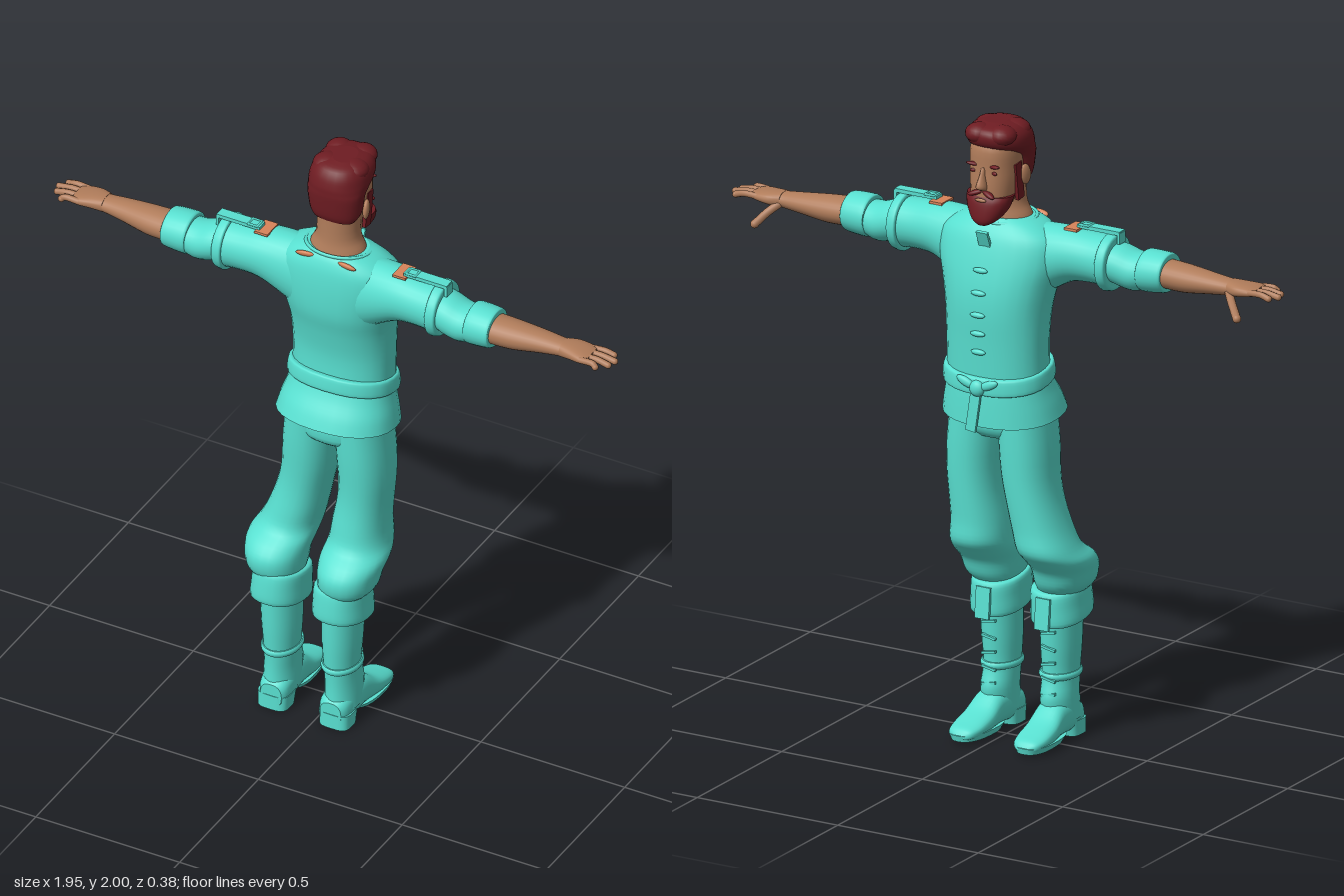
import * as THREE from 'three';

const mat = (name, color) => Object.assign(new THREE.MeshStandardMaterial({ color }), { name });
const cloth = mat('turquoise cloth', 0x58dfd0);
const hairRed = mat('dark red hair', 0x6e1c22);
const skin = mat('skin', 0xb07c5a);
const patchTan = mat('tan patch', 0xd8845a);
cloth.side = THREE.DoubleSide;

// Smooth loft along an axis. Each row is [position, aMin, aMax, bMin, bMax]:
// along y: a = x, b = z; along x: a = y, b = z; along z: a = x, b = y.
function loft(axis, rows, { p = 2, warp = null, seg = 28, steps = 4 } = {}) {
  const cr = (a, b, c, d, t) => {
    const m0 = (c - a) / 2, m1 = (d - b) / 2, t2 = t * t, t3 = t2 * t;
    return (2 * t3 - 3 * t2 + 1) * b + (t3 - 2 * t2 + t) * m0 + (3 * t2 - 2 * t3) * c + (t3 - t2) * m1;
  };
  const at = i => rows[Math.max(0, Math.min(rows.length - 1, i))];
  const fine = [];
  for (let i = 0; i < rows.length - 1; i++)
    for (let k = 0; k < steps; k++)
      fine.push(rows[i].map((_, j) => cr(at(i - 1)[j], at(i)[j], at(i + 1)[j], at(i + 2)[j], k / steps)));
  fine.push(rows[rows.length - 1]);
  const pos = [], idx = [];
  const put = (t, a, b) => {
    const v = axis === 'y' ? [a, t, b] : axis === 'x' ? [t, a, b] : [a, b, t];
    if (warp) warp(v);
    pos.push(...v);
  };
  const sp = v => Math.sign(v) * Math.pow(Math.abs(v), 2 / p);
  for (const [t, a0, a1, b0, b1] of fine)
    for (let j = 0; j < seg; j++) {
      const w = j / seg * Math.PI * 2;
      put(t, (a0 + a1) / 2 + (a1 - a0) / 2 * sp(Math.cos(w)), (b0 + b1) / 2 + (b1 - b0) / 2 * sp(Math.sin(w)));
    }
  const flip = (axis === 'y') !== (rows[rows.length - 1][0] < rows[0][0]);
  const tri = (a, b, c) => flip ? idx.push(a, c, b) : idx.push(a, b, c);
  for (let i = 0; i < fine.length - 1; i++)
    for (let j = 0; j < seg; j++) {
      const a = i * seg + j, b = i * seg + (j + 1) % seg;
      tri(a, b, b + seg);
      tri(a, b + seg, a + seg);
    }
  // End caps with their own rim vertices, so the edges stay sharp
  for (const end of [0, fine.length - 1]) {
    const [t, a0, a1, b0, b1] = fine[end], first = pos.length / 3;
    for (let j = 0; j < seg; j++) pos.push(...pos.slice((end * seg + j) * 3, (end * seg + j) * 3 + 3));
    put(t, (a0 + a1) / 2, (b0 + b1) / 2);
    for (let j = 0; j < seg; j++) {
      const a = first + j, b = first + (j + 1) % seg;
      end ? tri(a, b, first + seg) : tri(b, a, first + seg);
    }
  }
  const g = new THREE.BufferGeometry();
  g.setAttribute('position', new THREE.Float32BufferAttribute(pos, 3));
  g.setIndex(idx);
  g.computeVertexNormals();
  return g;
}

export function createModel() {
  const root = new THREE.Group();
  const add = (name, geo, m, at = [0, 0, 0], rot = [0, 0, 0], scale = [1, 1, 1]) => {
    const mesh = new THREE.Mesh(geo, m);
    mesh.name = name;
    mesh.position.set(...at);
    mesh.rotation.set(...rot);
    mesh.scale.set(...scale);
    root.add(mesh);
    return mesh;
  };
  const box = (w, h, d) => new THREE.BoxGeometry(w, h, d);
  const ball = new THREE.SphereGeometry(1, 18, 12);
  const tube = (pts, r) => new THREE.TubeGeometry(new THREE.CatmullRomCurve3(pts.map(q => new THREE.Vector3(...q))), 10, r, 8);
  const tilt = k => v => { v[1] += k * (v[2] + 0.04); };

  // Tunic, skirt and belt
  add('tunic', loft('y', [
    [1.18, -.165, .165, -.16, .07], [1.3, -.165, .165, -.165, .065], [1.4, -.17, .17, -.17, .08],
    [1.48, -.185, .185, -.165, .098], [1.56, -.205, .205, -.148, .1], [1.63, -.2, .2, -.125, .093],
    [1.67, -.15, .15, -.1, .08], [1.69, -.1, .1, -.08, .066]], { p: 2.3 }), cloth);
  add('tunicSkirt', loft('y', [
    [1.055, -.197, .194, -.165, .142], [1.1, -.187, .186, -.163, .122], [1.15, -.173, .173, -.16, .092],
    [1.2, -.163, .163, -.155, .07]], { p: 2.3, warp: tilt(.14) }), cloth);
  add('belt', loft('y', [[1.168, -.172, .172, -.17, .085], [1.176, -.178, .178, -.177, .091],
    [1.215, -.175, .175, -.175, .086], [1.222, -.166, .166, -.168, .078]], { p: 2.3, warp: tilt(.2) }), cloth);
  add('beltKnot', ball, cloth, [0, 1.165, -.175], [0, 0, 0], [.026, .026, .018]);
  add('beltEnd', box(.035, .14, .01), cloth, [.012, 1.095, -.175], [.05, 0, .12]);
  for (const s of [-1, 1])
    add('beltLoop', ball, cloth, [s * .04, 1.18, -.175], [0, 0, s * .4], [.035, .014, .011]);

  // Placket and toggles down the chest
  add('placket', box(.04, .1, .01), cloth, [0, 1.615, -.128], [-.38, 0, 0]);
  for (const [y, z] of [[1.54, -.157], [1.47, -.169], [1.4, -.173], [1.34, -.172], [1.28, -.169]])
    add('toggle', ball, cloth, [0, y, z], [0, 0, 0], [.026, .009, .009]);
  const collar = new THREE.TorusGeometry(1, .06, 8, 32);
  add('collar', collar, cloth, [0, 1.683, -.012], [Math.PI / 2 - .1, 0, 0], [.106, .082, .1]);

  // Neck and head
  add('neck', loft('y', [[1.66, -.1, .1, -.085, .07], [1.695, -.088, .088, -.078, .06],
    [1.74, -.07, .07, -.074, .052], [1.84, -.07, .07, -.08, .05]]), skin);
  add('head', loft('y', [[1.7, -.035, .035, -.14, -.07], [1.74, -.06, .06, -.145, -.03],
    [1.8, -.074, .074, -.146, .03], [1.86, -.079, .079, -.142, .048],
    [1.93, -.077, .077, -.138, .048], [1.97, -.05, .05, -.1, .02]], { p: 2.3 }), skin);
  add('nose', loft('y', [[1.797, -.016, .016, -.155, -.12], [1.81, -.017, .017, -.173, -.12],
    [1.84, -.01, .01, -.158, -.12], [1.868, -.008, .008, -.144, -.12]], { seg: 12 }), skin);

  // Hair, beard and facial details
  add('hair', loft('y', [[1.805, -.07, .07, -.015, .05], [1.83, -.085, .083, -.05, .06],
    [1.89, -.094, .09, -.066, .066], [1.915, -.097, .092, -.105, .066], [1.935, -.1, .093, -.14, .064],
    [1.965, -.093, .088, -.15, .054], [1.988, -.07, .07, -.135, .035], [1.998, -.03, .04, -.09, 0]], { p: 2.3 }), hairRed);
  for (const [x, z, r] of [[-.045, -.1, .045], [.03, -.11, .045], [.04, -.03, .05], [-.04, -.02, .05]])
    add('hairLock', ball, hairRed, [x, 1.967, z], [0, .4, 0], [r, .032, r]);
  add('beard', loft('y', [[1.685, -.018, .018, -.155, -.125], [1.7, -.042, .042, -.162, -.09],
    [1.73, -.064, .064, -.16, -.055], [1.758, -.074, .074, -.154, -.045], [1.775, -.077, .077, -.145, -.035]], { p: 2.3 }), hairRed);
  for (const s of [-1, 1]) {
    add('sideburn', box(.012, .12, .035), hairRed, [s * .076, 1.815, -.056], [-.15, 0, 0]);
    add('moustache', ball, hairRed, [s * .022, 1.786, -.146], [0, s * .35, -s * .3], [.028, .008, .011]);
    add('eyebrow', ball, hairRed, [s * .036, 1.873, -.135], [0, s * .35, s * .12], [.025, .006, .009]);
    add('eye', ball, hairRed, [s * .035, 1.852, -.134], [0, s * .35, 0], [.014, .006, .005]);
    add('ear', ball, skin, [s * .085, 1.83, -.03], [-.15, s * .3, 0], [.011, .034, .02]);
    add('neckPatch', ball, patchTan, [s * .072, 1.673, .07], [-.9, 0, -s * .1], [.033, .008, .013]);
  }
  add('lips', ball, skin, [0, 1.766, -.155], [0, 0, 0], [.02, .006, .005]);

  // Arms with sleeves, shoulder straps and hands
  for (const s of [-1, 1]) {
    const arm = (name, rows, m, o) => add(name, loft('x', rows.map(([x, ...r]) => [s * x, ...r]), o), m);
    arm('upperSleeve', [[.1, 1.42, 1.672, -.09, .085], [.17, 1.465, 1.676, -.085, .088],
      [.24, 1.503, 1.674, -.076, .09], [.31, 1.51, 1.667, -.068, .09], [.37, 1.505, 1.665, -.068, .092]], cloth);
    arm('sleeveBand', [[.355, 1.5, 1.67, -.073, .096], [.36, 1.493, 1.677, -.079, .101],
      [.383, 1.497, 1.674, -.077, .099], [.388, 1.506, 1.667, -.069, .092]], cloth);
    arm('lowerSleeve', [[.37, 1.53, 1.65, -.06, .085], [.41, 1.515, 1.645, -.056, .09],
      [.46, 1.508, 1.63, -.05, .09], [.52, 1.53, 1.63, -.04, .085]], cloth);
    arm('sleeveCuff', [[.485, 1.525, 1.633, -.046, .086], [.492, 1.512, 1.645, -.052, .093],
      [.56, 1.518, 1.643, -.048, .092], [.568, 1.527, 1.635, -.04, .085]], cloth);
    arm('forearm', [[.54, 1.535, 1.624, -.037, .08], [.63, 1.533, 1.62, -.037, .072],
      [.72, 1.545, 1.612, -.032, .056], [.79, 1.554, 1.605, -.026, .046], [.82, 1.56, 1.603, -.03, .048]], skin);
    arm('palm', [[.795, 1.556, 1.605, -.026, .046], [.83, 1.56, 1.604, -.038, .052],
      [.87, 1.566, 1.6, -.036, .06], [.895, 1.57, 1.595, -.028, .056]], skin, { p: 2.4 });
    // Four fingers and a lowered thumb, with round tips
    for (const [i, tip] of [.958, .976, .968, .938].entries()) {
      const z = -.024 + i * .025, zt = z + (i - 1.2) * .003;
      add('finger', tube([[s * .87, 1.584, z], [s * .92, 1.586, (z + zt) / 2], [s * (tip - .01), 1.579, zt]], .0105), skin);
      add('fingertip', ball, skin, [s * (tip - .01), 1.579, zt], [0, 0, 0], [.0105, .0105, .0105]);
    }
    add('thumb', tube([[s * .795, 1.575, -.01], [s * .825, 1.548, -.04], [s * .858, 1.51, -.065]], .0135), skin);
    add('thumbTip', ball, skin, [s * .858, 1.51, -.065], [0, 0, 0], [.0135, .0135, .0135]);
    // Shoulder strap and buckle
    add('shoulderStrap', box(.15, .012, .036), cloth, [s * .325, 1.682, .018]);
    add('strapEnd', box(.01, .035, .036), cloth, [s * .397, 1.666, .018]);
    add('strapBuckle', new THREE.TorusGeometry(.022, .005, 6, 4), cloth, [s * .275, 1.687, .018], [Math.PI / 2, 0, Math.PI / 4]);
    add('shoulderPatch', box(.045, .008, .07), patchTan, [s * .24, 1.674, .012]);
  }

  // Legs: both drift sideways below the thigh, as in a relaxed stance
  const drift = v => { v[0] -= .042 * THREE.MathUtils.smoothstep(.9 - v[1], 0, .35); };
  add('hips', loft('y', [[.985, -.12, .12, -.1, .07], [1.02, -.165, .165, -.125, .095], [1.12, -.165, .165, -.13, .09]]), cloth);
  for (const s of [-1, 1]) {
    const leg = (name, axis, rows, o = {}) => add(name, loft(axis,
      rows.map(([t, a, b, ...r]) => [t, ...(s > 0 ? [a, b] : [-b, -a]), ...r]),
      { ...o, warp: v => { if (o.warp) o.warp(v); drift(v); } }), cloth);
    leg('trouserLeg', 'y', [[.47, .045, .175, 0, .15], [.505, .035, .21, -.03, .178], [.555, .03, .222, -.05, .182],
      [.595, .025, .228, -.085, .155], [.635, .025, .212, -.116, .108], [.7, .022, .195, -.116, .092],
      [.8, .02, .183, -.12, .083], [.95, .008, .178, -.125, .09], [1.08, .003, .165, -.125, .092]], { p: 2.2 });
    leg('bootCuff', 'y', [[.388, .035, .18, -.01, .17], [.395, .022, .194, -.028, .188], [.445, .022, .191, -.03, .186],
      [.492, .024, .187, -.028, .178], [.498, .04, .175, -.01, .165]], { p: 2.3, warp: v => { v[1] += .16 * (v[2] - .08); } });
    leg('bootShaft', 'y', [[.06, .052, .162, .01, .152], [.13, .052, .16, -.01, .148], [.2, .05, .158, .008, .15],
      [.3, .045, .165, .002, .157], [.42, .045, .17, -.005, .16]]);
    const toeOut = v => { v[0] += s * (.08 - v[2]) * .04; };
    leg('bootFoot', 'z', [[-.165, .085, .125, .015, .03], [-.15, .064, .148, .012, .047], [-.11, .053, .16, .012, .06],
      [-.05, .052, .162, .012, .083], [.01, .055, .158, .014, .125], [.07, .053, .16, .014, .13],
      [.13, .057, .156, .012, .11], [.155, .07, .143, .012, .09]], { p: 2.5, warp: toeOut });
    leg('bootSole', 'y', [[.008, .056, .158, -.165, .04], [.028, .05, .166, -.17, .06]], { p: 2.5, steps: 1, warp: toeOut });
    leg('bootHeel', 'y', [[0, .056, .158, .072, .158], [.05, .052, .16, .062, .157]], { p: 3.5, steps: 1 });
    leg('ankleStrap', 'y', [[.195, .046, .162, .002, .155], [.202, .042, .166, -.002, .159],
      [.21, .042, .166, -.002, .159], [.216, .046, .162, .002, .155]], { steps: 2 });
    // Laces and a front flap on the cuff
    for (let i = 0; i < 5; i++)
      add('lace', box(.05, .008, .01), cloth, [s * .106 - .042, .15 + i * .05, .0], [0, 0, i % 2 ? .2 : -.2]);
    add('cuffFlap', box(.05, .1, .01), cloth, [s * .106 - .042, .42, -.034], [.1, 0, 0]);
  }
  return root;
}
